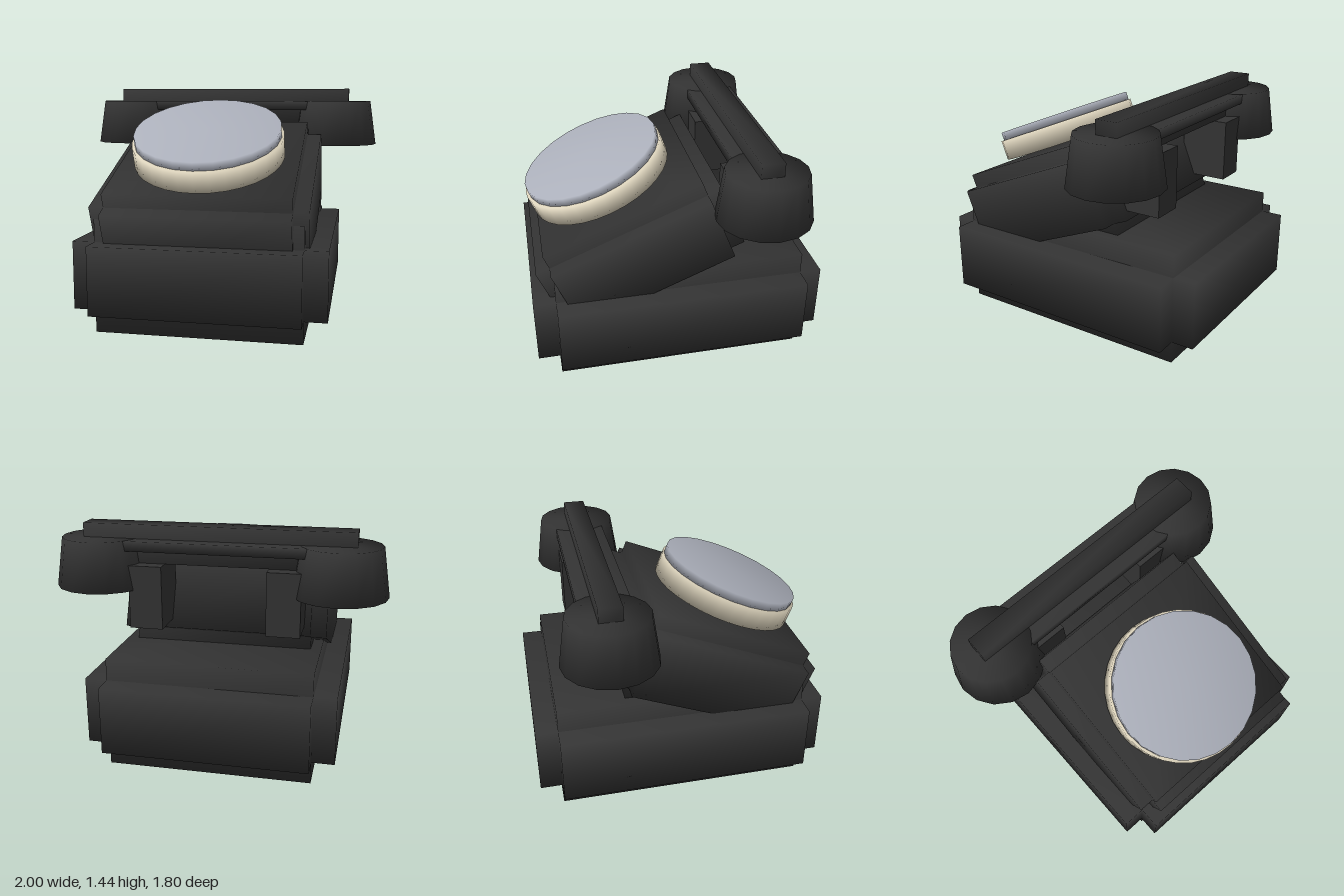
import * as THREE from 'three';
import { mergeGeometries, mergeVertices } from 'three/addons/utils/BufferGeometryUtils.js';

const material = (name, color) => {
  const m = new THREE.MeshStandardMaterial({ color });
  m.name = name;
  return m;
};

// Welds shared corners so the shading runs softly over the edges
function soften(geometry) {
  geometry.deleteAttribute('uv');
  geometry.deleteAttribute('normal');
  const welded = mergeVertices(geometry, 1e-4);
  welded.computeVertexNormals();
  return welded;
}

// Block whose edges are all cut back by a square step
function steppedBlock(w, h, d, step) {
  const s = 2 * step;
  return mergeGeometries([
    soften(new THREE.BoxGeometry(w, h - s, d - s)),
    soften(new THREE.BoxGeometry(w - s, h, d - s)),
    soften(new THREE.BoxGeometry(w - s, h - s, d)),
  ]);
}

const softCylinder = (top, bottom, h, sides) =>
  soften(new THREE.CylinderGeometry(top, bottom, h, sides));

export function createModel() {
  const black = material('black', 0x333333);
  const cream = material('cream', 0xdbd2bb);
  const silver = material('silver', 0xabafba);

  const model = new THREE.Group();
  model.name = 'telephone';

  const add = (parent, name, geometry, mat, x, y, z) => {
    const mesh = new THREE.Mesh(geometry, mat);
    mesh.name = name;
    mesh.position.set(x, y, z);
    parent.add(mesh);
    return mesh;
  };

  // Base
  add(model, 'base', steppedBlock(1.5, 0.68, 1.8, 0.135), black, 0, 0.34, 0);

  // Sloping housing with the dial on its top face
  const slope = new THREE.Group();
  slope.name = 'slopingBody';
  slope.position.set(0, 0.75, 0.23);
  slope.rotation.x = 0.385;
  model.add(slope);
  add(slope, 'housing', steppedBlock(1.28, 0.6, 1.2, 0.09), black, 0, 0, 0);
  add(slope, 'dialRing', softCylinder(0.46, 0.46, 0.13, 32), cream, 0, 0.385, 0.05);
  add(slope, 'dialPlate', softCylinder(0.445, 0.445, 0.06, 24), silver, 0, 0.473, 0.045);

  // Handset resting on two cradle posts
  const handset = new THREE.Group();
  handset.name = 'handset';
  model.add(handset);
  add(handset, 'handle', steppedBlock(1.79, 0.23, 0.305, 0.085), black, 0, 1.325, -0.45);
  for (const [side, s] of [['left', 1], ['right', -1]]) {
    add(handset, side + 'Earpiece', softCylinder(0.24, 0.283, 0.295, 16), black, s * 0.717, 1.208, -0.45);
    add(model, side + 'CradlePost', new THREE.BoxGeometry(0.2, 0.38, 0.3), black, s * 0.41, 1.02, -0.45);
  }

  return model;
}
